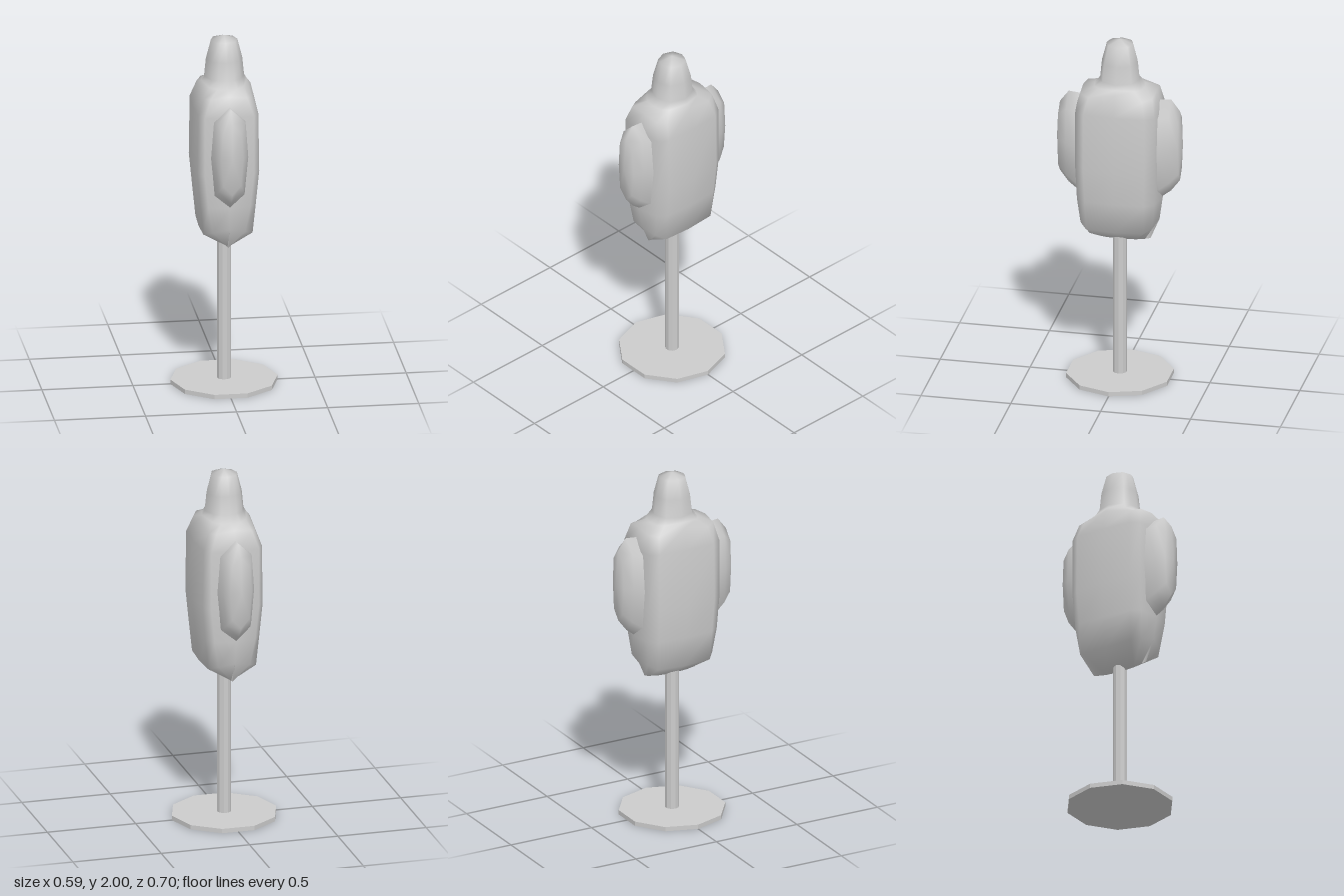
import * as THREE from 'three';
import { mergeVertices } from 'three/addons/utils/BufferGeometryUtils.js';

const grey = new THREE.MeshStandardMaterial({ color: 0xcccccc });
const flatGrey = new THREE.MeshStandardMaterial({ color: 0xcccccc, flatShading: true });

// Skin a list of closed rings of [x, y, z], each counter-clockwise seen from the last ring
function loft(rings) {
  const n = rings[0].length;
  const index = [];
  for (let i = 0; i < rings.length - 1; i++) {
    for (let j = 0; j < n; j++) {
      const a = i * n + j, b = i * n + (j + 1) % n;
      index.push(a, b, b + n, a, b + n, a + n);
    }
  }
  let geo = new THREE.BufferGeometry();
  geo.setAttribute('position', new THREE.Float32BufferAttribute(rings.flat(2), 3));
  geo.setIndex(index);
  geo = mergeVertices(geo, 1e-4);
  geo.computeVertexNormals();
  return geo;
}

// Mirror a quarter outline (side, two corner points, front) into a 12-point ring
function mirrorRing([a, b, c, d]) {
  const at = (p, sx, sz) => [p[0] * sx, p[1], p[2] * sz];
  return [
    at(a, 1, -1), at(b, 1, -1), at(c, 1, -1), at(d, 1, -1), at(c, -1, -1), at(b, -1, -1),
    at(a, -1, 1), at(b, -1, 1), at(c, -1, 1), at(d, 1, 1), at(c, 1, 1), at(b, 1, 1),
  ];
}

// Eight-sided quarter ring for the neck and head
const roundRing = (y, r) => [[r, y, 0], [r * 0.73, y, r * 0.73], [r * 0.4, y, r * 0.88], [0, y, r]];

function bodyGeometry() {
  return loft([
    // keel
    [[0, 0.81, 0], [0, 0.815, 0.09], [0, 0.823, 0.14], [0, 0.83, 0.17]],
    // torso
    [[0.14, 0.905, 0], [0.135, 0.91, 0.16], [0.09, 0.93, 0.2], [0, 0.95, 0.22]],
    [[0.162, 1.08, 0], [0.152, 1.08, 0.165], [0.115, 1.08, 0.215], [0, 1.08, 0.238]],
    [[0.183, 1.27, 0], [0.17, 1.27, 0.17], [0.135, 1.27, 0.22], [0, 1.27, 0.24]],
    [[0.173, 1.6, 0], [0.165, 1.6, 0.17], [0.135, 1.6, 0.22], [0, 1.6, 0.24]],
    // shoulders
    [[0.145, 1.72, 0], [0.13, 1.69, 0.15], [0.1, 1.7, 0.2], [0, 1.712, 0.205]],
    [[0.125, 1.745, 0], [0.095, 1.735, 0.1], [0.055, 1.73, 0.13], [0, 1.73, 0.14]],
    // neck and head
    roundRing(1.77, 0.11), roundRing(1.87, 0.1), roundRing(1.975, 0.073), roundRing(2, 0),
  ].map(mirrorRing));
}

// Side lobe stacked outwards along z: [z, half width, bottom, top]
function lobeGeometry() {
  const outline = [[1, 0.5], [0.85, 0.86], [0, 1], [-0.85, 0.86], [-1, 0.5], [-0.8, 0.13], [0, 0], [0.8, 0.13]];
  const levels = [
    [0.19, 0.11, 1.06, 1.655], [0.235, 0.1, 1.085, 1.66], [0.285, 0.088, 1.125, 1.665],
    [0.334, 0.06, 1.19, 1.6], [0.35, 0, 1.4, 1.4],
  ];
  return loft(levels.map(([z, w, y0, y1]) => outline.map(([u, v]) => [u * w, y0 + v * (y1 - y0), z])));
}

export function createModel() {
  const model = new THREE.Group();
  const add = (name, geo, mat) => {
    const mesh = new THREE.Mesh(geo, mat);
    mesh.name = name;
    model.add(mesh);
    return mesh;
  };

  // Ten-sided base plate and pole
  const base = add('basePlate', new THREE.CylinderGeometry(0.295, 0.295, 0.025, 10), flatGrey);
  base.position.y = 0.0125;
  base.rotation.y = Math.PI / 2;
  const pole = add('pole', new THREE.CylinderGeometry(0.039, 0.039, 0.88, 10), flatGrey);
  pole.position.y = 0.46;
  pole.rotation.y = Math.PI / 2;

  // Torso with head, and a lobe at the front and back
  add('torso', bodyGeometry(), grey);
  const lobe = lobeGeometry();
  add('frontLobe', lobe, grey);
  add('backLobe', lobe, grey).rotation.y = Math.PI;

  return model;
}
